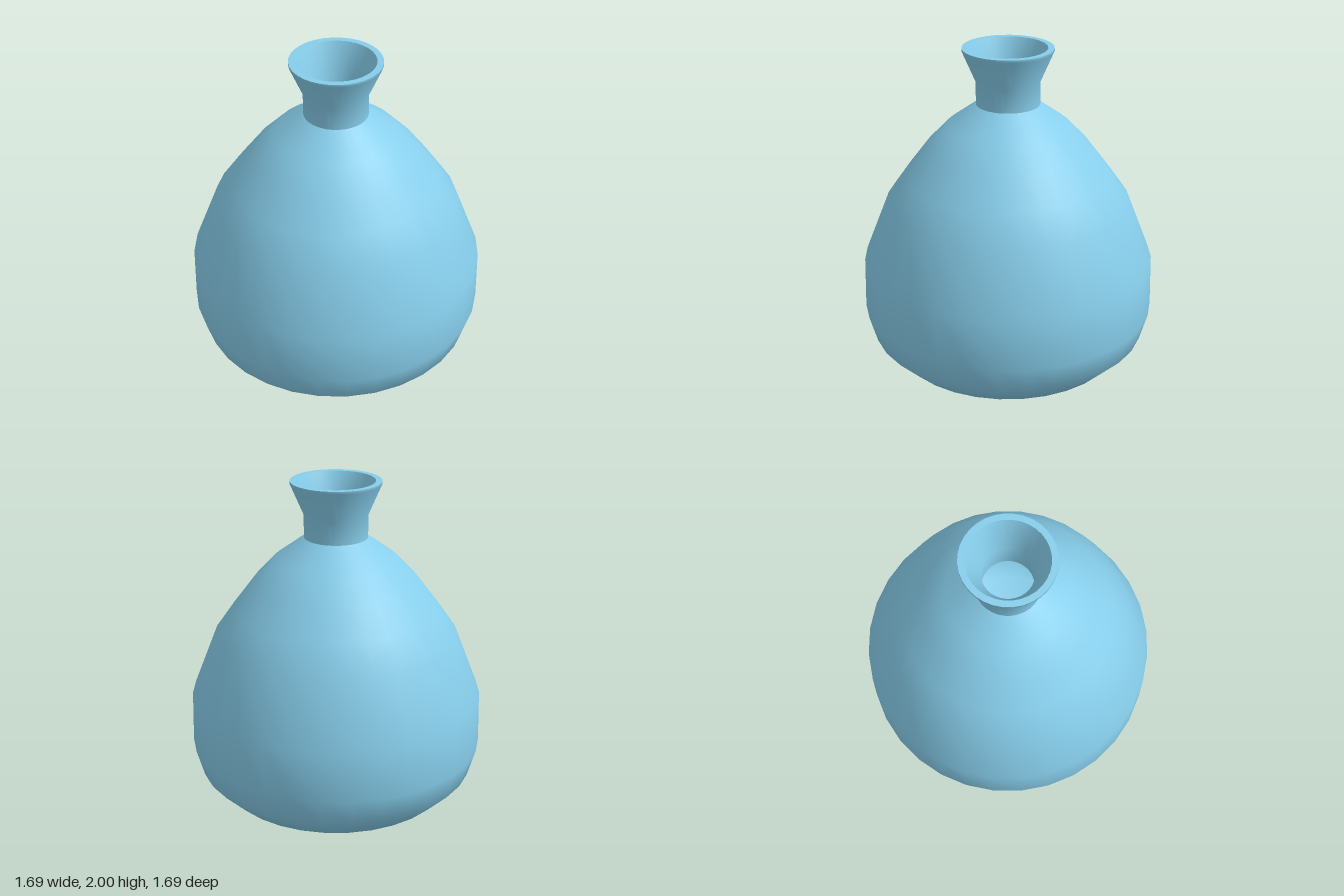
import * as THREE from 'three';

const SIDES = 32;

export function createModel() {
  const vase = new THREE.Group();
  vase.name = 'vase';
  const glaze = new THREE.MeshStandardMaterial({ color: 0x87ceeb });

  // Each band is its own lathe, smooth inside and sharp where bands meet
  const band = (name, profile) => {
    const points = profile.map(([r, y]) => new THREE.Vector2(r, y));
    const mesh = new THREE.Mesh(new THREE.LatheGeometry(points, SIDES), glaze);
    mesh.name = name;
    vase.add(mesh);
  };

  // Outside, from the base up to the rim
  band('base', [[0, 0], [0.31, 0]]);
  band('body', [
    [0.31, 0], [0.67, 0.17], [0.8, 0.3], [0.845, 0.46], [0.837, 0.76],
    [0.695, 1.12], [0.59, 1.27], [0.465, 1.435], [0.345, 1.56], [0.18, 1.68],
  ]);
  band('neck', [[0.18, 1.68], [0.18, 1.81], [0.255, 1.985], [0.255, 2]]);
  band('rim', [[0.255, 2], [0.22, 2]]);

  // Inside, from the rim down to the floor
  band('innerNeck', [[0.22, 2], [0.14, 1.82], [0.14, 1.66]]);
  band('innerBody', [
    [0.14, 1.66], [0.32, 1.53], [0.435, 1.41], [0.56, 1.25], [0.66, 1.1],
    [0.8, 0.75], [0.808, 0.47], [0.765, 0.32], [0.65, 0.2], [0.3, 0.04],
  ]);
  band('innerFloor', [[0.3, 0.04], [0, 0.04]]);

  return vase;
}
